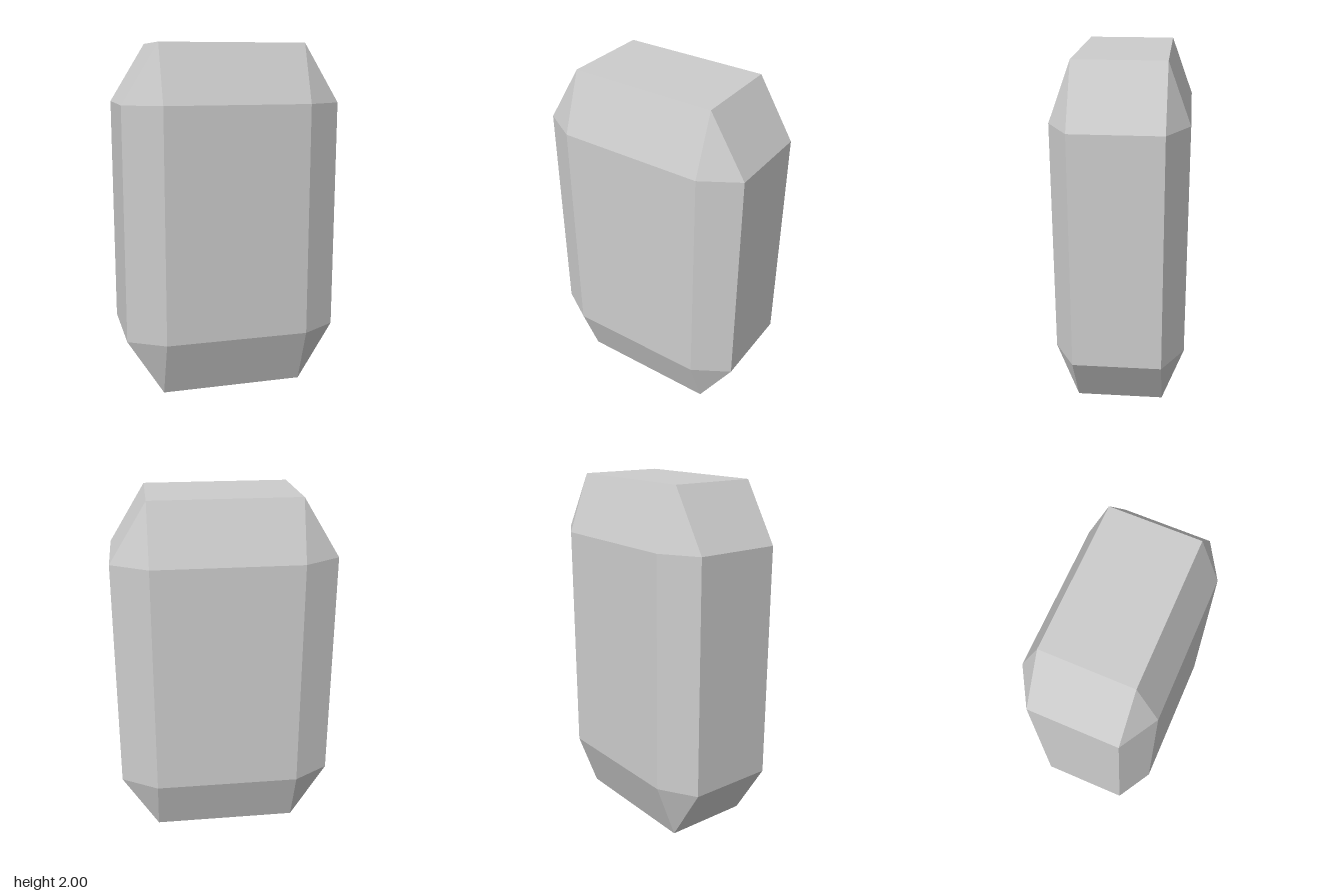
import * as THREE from 'three';
import { ConvexGeometry } from 'three/addons/geometries/ConvexGeometry.js';

// Half sizes of the inner core and of the outer faces, measured from the centre
const inner = new THREE.Vector3(0.415, 0.667, 0.249);
const outer = new THREE.Vector3(0.622, 1, 0.372);

export function createModel() {
  const stone = new THREE.MeshStandardMaterial({ name: 'grey stone', color: 0xcccccc });

  // Each core corner is pushed out along one axis at a time, which bevels every edge and corner
  const points = [];
  for (const sx of [-1, 1]) for (const sy of [-1, 1]) for (const sz of [-1, 1]) {
    for (const axis of ['x', 'y', 'z']) {
      const p = inner.clone();
      p[axis] = outer[axis];
      points.push(p.multiply(new THREE.Vector3(sx, sy, sz)));
    }
  }

  const block = new THREE.Mesh(new ConvexGeometry(points), stone);
  block.name = 'bevelledBlock';
  block.position.y = outer.y;

  const model = new THREE.Group();
  model.name = 'bevelledStone';
  model.add(block);
  return model;
}
